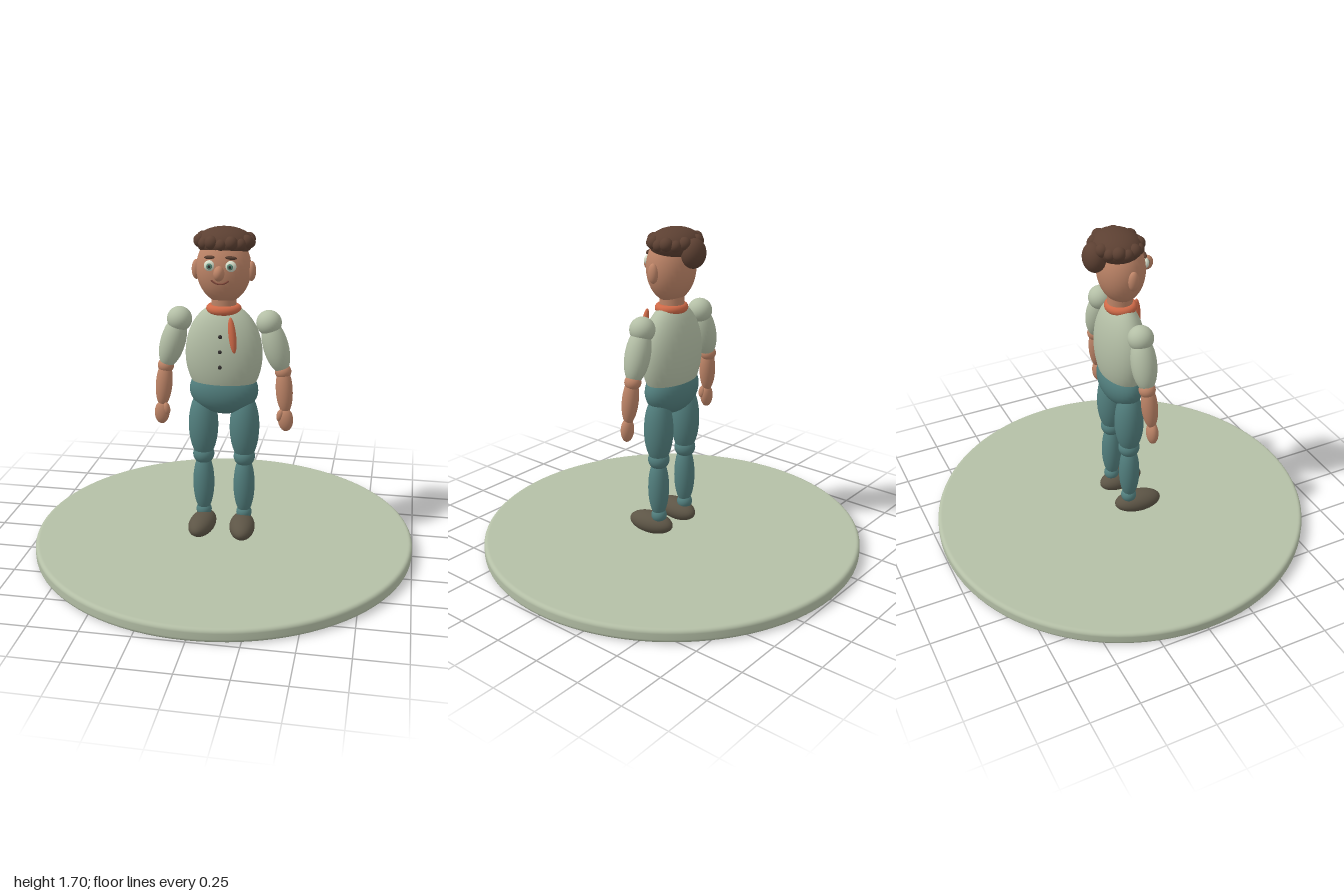
import * as THREE from 'three';

const mat = (name, color) => {
  const m = new THREE.MeshStandardMaterial({ color });
  m.name = name;
  return m;
};

export function createModel() {
  const M = {
    sage: mat('sage cloth', 0xb4bfa6),
    skin: mat('skin', 0xbd8467),
    teal: mat('teal trousers', 0x527f7e),
    hair: mat('brown hair', 0x5c4032),
    shoe: mat('shoe leather', 0x5d5546),
    scarf: mat('orange scarf', 0xcf6a48),
    white: mat('eye white', 0xd9e0cc),
    iris: mat('green iris', 0x5f8f7c),
    dark: mat('dark detail', 0x33302f),
    lip: mat('lip', 0x7d4538),
  };
  const root = new THREE.Group();
  root.name = 'figureOnStand';
  const ball = new THREE.SphereGeometry(1, 32, 20);

  const add = (name, geo, material, pos, rot = [0, 0, 0]) => {
    const m = new THREE.Mesh(geo, material);
    m.name = name;
    m.position.set(...pos);
    m.rotation.set(...rot);
    root.add(m);
    return m;
  };
  // Ellipsoid with centre, radii and rotation
  const blob = (name, material, pos, r, rot) => {
    const m = add(name, ball, material, pos, rot);
    m.scale.set(...r);
    return m;
  };

  // Round stand with softened rims
  const h = 0.07, f = 0.02;
  const rim = [new THREE.Vector2(0, 0), new THREE.Vector2(0.975, 0)];
  for (let i = 0; i <= 6; i++) {
    const a = -Math.PI / 2 + (i / 6) * (Math.PI / 2);
    rim.push(new THREE.Vector2(1 - f + f * Math.cos(a), f + f * Math.sin(a)));
  }
  for (let i = 0; i <= 6; i++) {
    const a = (i / 6) * (Math.PI / 2);
    rim.push(new THREE.Vector2(1 - f + f * Math.cos(a), h - f + f * Math.sin(a)));
  }
  rim.push(new THREE.Vector2(0.975, h), new THREE.Vector2(0, h));
  add('stand', new THREE.LatheGeometry(rim, 96), M.sage, [0, 0, 0]);

  // Body
  blob('pelvis', M.teal, [0, 0.87, 0], [0.178, 0.13, 0.105]);
  blob('torso', M.sage, [0, 1.06, 0], [0.198, 0.265, 0.116]);
  add('neck', new THREE.CylinderGeometry(0.063, 0.063, 0.12, 32), M.skin, [0, 1.3, 0]);
  for (const y of [1.175, 1.1, 1.02]) {
    const z = 0.116 * Math.sqrt(1 - ((y - 1.06) / 0.265) ** 2);
    blob('button', M.dark, [0, y, z + 0.004], [0.01, 0.01, 0.007]);
  }

  // Neckerchief
  const ring = add('scarfRing', new THREE.TorusGeometry(0.066, 0.023, 16, 48), M.scarf,
    [0, 1.295, 0.003], [Math.PI / 2, 0, 0]);
  ring.scale.set(1, 0.9, 1);
  blob('scarfTail', M.scarf, [0.064, 1.19, 0.126], [0.019, 0.09, 0.018], [-0.1, 0, 0.13]);

  // Limbs, mirrored
  for (const s of [-1, 1]) {
    blob('shoe', M.shoe, [s * 0.107, 0.126, 0.055], [0.067, 0.057, 0.128], [0, s * 0.12, 0]);
    blob('ankle', M.teal, [s * 0.108, 0.185, 0], [0.041, 0.041, 0.041]);
    blob('shin', M.teal, [s * 0.108, 0.345, 0.002], [0.056, 0.17, 0.054]);
    blob('knee', M.teal, [s * 0.108, 0.505, 0], [0.056, 0.054, 0.056]);
    blob('thigh', M.teal, [s * 0.108, 0.67, 0], [0.077, 0.19, 0.075]);

    blob('shoulder', M.sage, [s * 0.228, 1.23, 0], [0.064, 0.064, 0.064]);
    blob('upperArm', M.sage, [s * 0.264, 1.11, 0], [0.064, 0.145, 0.064], [0, 0, s * 0.28]);
    blob('elbow', M.skin, [s * 0.303, 0.98, 0], [0.042, 0.04, 0.042]);
    blob('forearm', M.skin, [s * 0.312, 0.885, 0.01], [0.043, 0.125, 0.041], [-0.07, 0, s * 0.08]);
    blob('hand', M.skin, [s * 0.323, 0.73, 0.022], [0.039, 0.062, 0.029], [0, 0, s * 0.05]);
    blob('thumb', M.skin, [s * 0.295, 0.755, 0.032], [0.017, 0.033, 0.018], [0, 0, -s * 0.2]);
  }

  // Head
  blob('head', M.skin, [0, 1.5, 0.004], [0.137, 0.175, 0.117]);
  blob('nose', M.skin, [0, 1.5, 0.142], [0.027, 0.037, 0.034]);
  for (const s of [-1, 1]) {
    blob('ear', M.skin, [s * 0.138, 1.49, 0.005], [0.023, 0.05, 0.027]);
    blob('eye', M.white, [s * 0.052, 1.53, 0.107], [0.028, 0.027, 0.018]);
    blob('iris', M.iris, [s * 0.051, 1.53, 0.122], [0.015, 0.015, 0.006]);
    blob('pupil', M.dark, [s * 0.051, 1.53, 0.127], [0.007, 0.007, 0.004]);
    blob('eyebrow', M.hair, [s * 0.053, 1.571, 0.104], [0.029, 0.009, 0.01], [0, s * 0.3, -s * 0.1]);
  }

  // Smile, following the curve of the face
  const smile = [];
  for (let i = 0; i <= 8; i++) {
    const x = -0.043 + (0.086 * i) / 8;
    const y = 1.442 + 0.018 * (x / 0.043) ** 2;
    const z = 0.117 * Math.sqrt(1 - (x / 0.137) ** 2 - ((y - 1.5) / 0.175) ** 2) + 0.005;
    smile.push(new THREE.Vector3(x, y, z));
  }
  add('smile', new THREE.TubeGeometry(new THREE.CatmullRomCurve3(smile), 24, 0.004, 8), M.lip, [0, 0, 0]);

  // Hair: cap, ring of curls and a bun at the back
  blob('hairCap', M.hair, [0, 1.625, -0.02], [0.142, 0.076, 0.122]);
  const n = 16;
  for (let i = 0; i < n; i++) {
    const a = (i / n) * Math.PI * 2;
    const r = i % 2 ? 0.034 : 0.03;
    blob('curl', M.hair, [0.124 * Math.sin(a), 1.632 + (i % 2 ? 0.004 : -0.004), -0.02 + 0.102 * Math.cos(a)], [r, r, r]);
  }
  blob('bun', M.hair, [0, 1.585, -0.135], [0.07, 0.074, 0.056]);

  return root;
}
